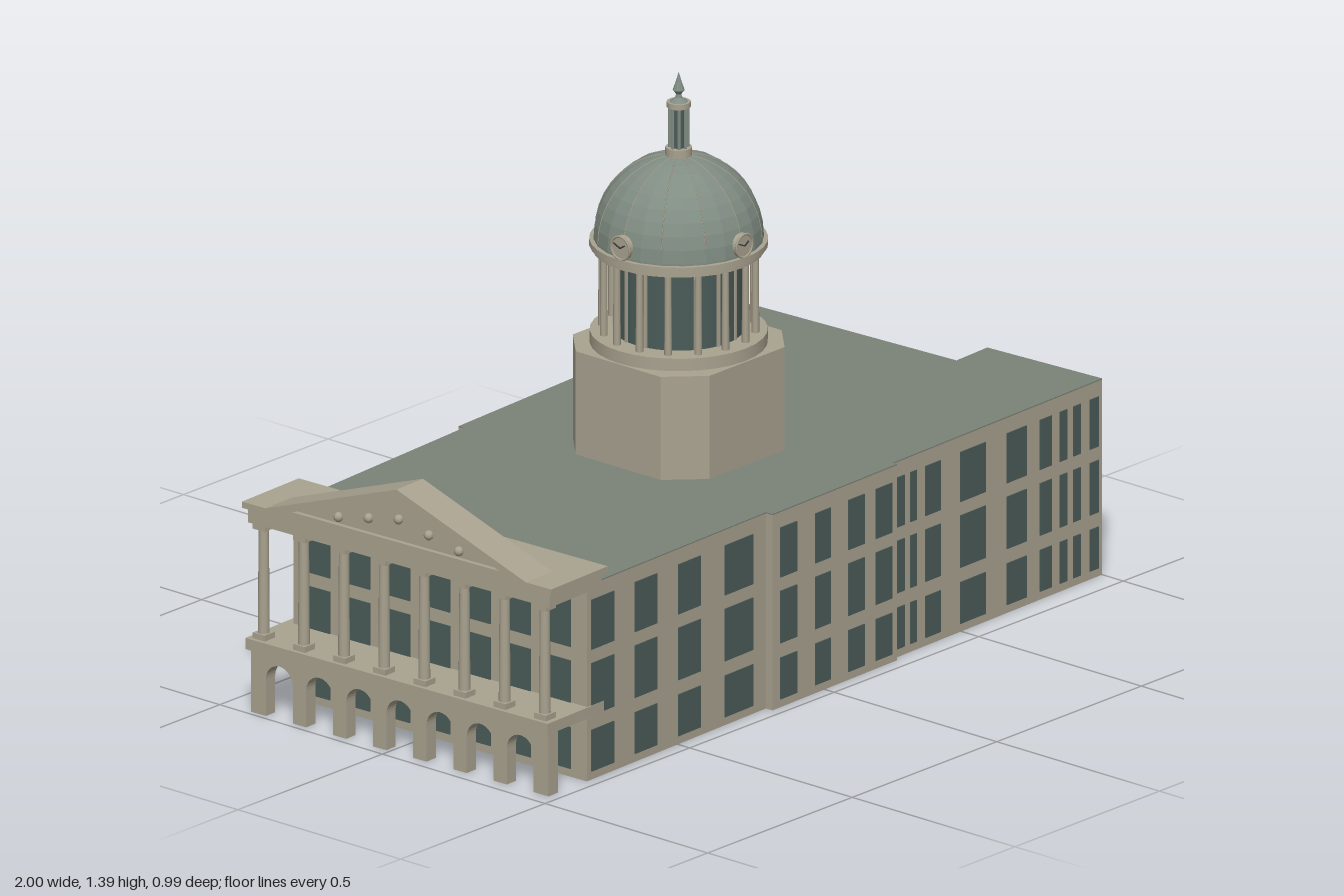
import * as THREE from 'three';

const mat = (name, color, flat = false) => {
  const m = new THREE.MeshStandardMaterial({ color, flatShading: flat });
  m.name = name;
  return m;
};

export function createModel() {
  const stone = mat('stone', 0xa9a28f);
  const roofing = mat('roof grey', 0x7b8379);
  const copper = mat('dome grey green', 0x808d83, true);
  const glass = mat('window glass', 0x4a5c59);
  const dark = mat('dark metal', 0x3a3f3c);
  const model = new THREE.Group();

  const add = (parent, name, geo, material, x = 0, y = 0, z = 0) => {
    const m = new THREE.Mesh(geo, material);
    m.name = name;
    m.position.set(x, y, z);
    parent.add(m);
    return m;
  };
  const group = (name, x = 0, y = 0, z = 0) => {
    const g = new THREE.Group();
    g.name = name;
    g.position.set(x, y, z);
    model.add(g);
    return g;
  };
  const box = (parent, name, m, x0, x1, y0, y1, z0, z1) =>
    add(parent, name, new THREE.BoxGeometry(x1 - x0, y1 - y0, z1 - z0), m,
      (x0 + x1) / 2, (y0 + y1) / 2, (z0 + z1) / 2);
  const drum = (parent, name, m, r, y0, y1, sides = 32, rTop = r) =>
    add(parent, name, new THREE.CylinderGeometry(rTop, r, y1 - y0, sides), m, 0, (y0 + y1) / 2, 0);
  // Upright prism over a plan given as [x, z] points
  const prism = (parent, name, m, plan, y0, y1) => {
    const shape = new THREE.Shape(plan.map(([x, z]) => new THREE.Vector2(x, -z)));
    const geo = new THREE.ExtrudeGeometry(shape, { depth: y1 - y0, bevelEnabled: false });
    return add(parent, name, geo.rotateX(-Math.PI / 2), m, 0, y0, 0);
  };

  // Main block
  const plan = [
    [-0.825, 0.473], [-0.185, 0.455], [-0.185, 0.475], [0.257, 0.465], [0.257, 0.452],
    [1.0, 0.435], [0.98, 0.1], [0.868, 0.105], [0.837, -0.5], [0.222, -0.466],
    [0.222, -0.477], [-0.222, -0.457], [-0.222, -0.441], [-0.853, -0.404],
  ];
  prism(model, 'walls', stone, plan, 0, 0.477);
  prism(model, 'flatRoof', roofing, plan, 0.477, 0.48);

  // Windows: thin panes on each wall, spans measured along x (axis 0) or z (axis 1)
  const windows = group('windows');
  const rows = [[0.02, 0.122], [0.157, 0.285], [0.318, 0.44]];
  const glaze = (i, axis, spans) => {
    const a = plan[i], b = plan[(i + 1) % plan.length];
    const dx = b[0] - a[0], dz = b[1] - a[1], length = Math.hypot(dx, dz);
    for (const [s0, s1] of spans) {
      const t = ((s0 + s1) / 2 - a[axis]) / (b[axis] - a[axis]);
      const w = Math.abs((s1 - s0) / (b[axis] - a[axis])) * length;
      for (const [y0, y1] of rows) {
        const pane = add(windows, 'window', new THREE.BoxGeometry(w, y1 - y0, 0.005), glass,
          a[0] + dx * t, (y0 + y1) / 2, a[1] + dz * t);
        pane.rotation.y = Math.atan2(-dz, dx);
      }
    }
  };
  const even = (from, to, n, fill) => Array.from({ length: n }, (_, k) => {
    const step = (to - from) / n, mid = from + step * (k + 0.5);
    return [mid - step * fill / 2, mid + step * fill / 2];
  });
  glaze(0, 0, [[-0.81, -0.73], [-0.655, -0.575], [-0.5, -0.42], [-0.334, -0.233]]);
  glaze(2, 0, [[-0.158, -0.1], [-0.035, 0.02], [0.083, 0.14], [0.18, 0.238]]);
  glaze(4, 0, [[0.27, 0.297], [0.318, 0.34], [0.372, 0.425], [0.495, 0.585], [0.66, 0.73],
    [0.778, 0.82], [0.848, 0.875], [0.896, 0.922], [0.955, 0.987]]);
  glaze(5, 1, [[0.4, 0.314], [0.233, 0.144]]);
  glaze(6, 0, [[0.9, 0.95]]);
  glaze(7, 1, [[0.092, 0.06], [0.026, -0.01], [-0.048, -0.085], [-0.118, -0.148],
    [-0.2, -0.288], [-0.37, -0.457]]);
  glaze(8, 0, even(0.235, 0.83, 8, 0.55));
  glaze(10, 0, even(-0.21, 0.21, 4, 0.52));
  glaze(12, 0, even(-0.82, -0.23, 4, 0.6));
  glaze(13, 1, even(-0.39, 0.45, 7, 0.6));

  // Portico on the end wall, slightly turned; local x runs inward
  const portico = group('portico', -0.985, 0, 0.03);
  portico.rotation.y = 0.0326;
  const endShape = (name, shape, x0, x1) =>
    add(portico, name, new THREE.ExtrudeGeometry(shape, { depth: x1 - x0, bevelEnabled: false, curveSegments: 8 })
      .rotateY(-Math.PI / 2), stone, x1, 0, 0);
  const arcade = new THREE.Shape();
  arcade.moveTo(-0.445, 0.155);
  arcade.lineTo(-0.445, 0);
  for (let k = -3; k <= 3; k++) {
    const c = k * 0.12, r = 0.04;
    arcade.lineTo(c - r, 0);
    arcade.lineTo(c - r, 0.09);
    arcade.absarc(c, 0.09, r, Math.PI, 0, true);
    arcade.lineTo(c + r, 0);
  }
  arcade.lineTo(0.445, 0);
  arcade.lineTo(0.445, 0.155);
  endShape('arcade', arcade, 0.012, 0.045);
  box(portico, 'balcony', stone, 0, 0.203, 0.155, 0.182, -0.452, 0.452);
  for (let k = 0; k < 8; k++) {
    const z = -0.42 + k * 0.12;
    add(portico, 'column', new THREE.CylinderGeometry(0.012, 0.014, 0.285, 12), stone, 0.028, 0.3235, z);
    box(portico, 'columnBase', stone, 0.01, 0.046, 0.182, 0.196, z - 0.018, z + 0.018);
    box(portico, 'columnCapital', stone, 0.01, 0.046, 0.45, 0.465, z - 0.018, z + 0.018);
  }
  box(portico, 'entablature', stone, 0.008, 0.196, 0.463, 0.498, -0.45, 0.45);
  box(portico, 'cornice', stone, 0, 0.204, 0.498, 0.513, -0.462, 0.462);

  // Pediment with a raised triangular frame and small bosses
  const triangle = (s, y0) => [[-0.4 * s, y0], [0.395 * s, y0], [0, y0 + 0.14 * s]]
    .map(([z, y]) => new THREE.Vector2(z, y));
  endShape('pediment', new THREE.Shape(triangle(1, 0.51)), 0.012, 0.095);
  const frame = new THREE.Shape(triangle(1, 0.51));
  frame.holes.push(new THREE.Path(triangle(0.78, 0.522)));
  endShape('pedimentFrame', frame, 0, 0.014);
  for (let k = -2; k <= 2; k++)
    add(portico, 'pedimentBoss', new THREE.SphereGeometry(0.012, 8, 6), stone,
      0.008, 0.575 - Math.abs(k) * 0.018, k * 0.09);

  // Tower base: square with cut corners
  const tower = group('tower', 0.025, 0, 0);
  const f = 0.21, c = 0.13;
  prism(tower, 'towerBase', stone,
    [[-c, f], [c, f], [f, c], [f, -c], [c, -f], [-c, -f], [-f, -c], [-f, c]], 0.48, 0.732);
  drum(tower, 'lowerRing', stone, 0.205, 0.732, 0.762);

  // Colonnaded drum
  drum(tower, 'drumGlass', glass, 0.15, 0.76, 0.962, 32);
  for (let k = 0; k < 16; k++) {
    const a = (k + 0.5) * Math.PI / 8;
    add(tower, 'drumColumn', new THREE.CylinderGeometry(0.008, 0.009, 0.2, 8), stone,
      0.178 * Math.sin(a), 0.862, 0.178 * Math.cos(a));
    const bar = add(tower, 'glazingBar', new THREE.BoxGeometry(0.008, 0.2, 0.006), stone,
      0.15 * Math.sin(a), 0.862, 0.15 * Math.cos(a));
    bar.rotation.y = a;
  }
  drum(tower, 'upperRing', stone, 0.198, 0.958, 0.97);
  drum(tower, 'upperCornice', stone, 0.206, 0.97, 0.985);

  // Dome with fine ribs
  const domeHeight = 0.2, domeRadius = 0.196;
  const dome = add(tower, 'dome',
    new THREE.SphereGeometry(1, 24, 10, 0, Math.PI * 2, 0, Math.PI / 2), copper, 0, 0.99, 0);
  dome.scale.set(domeRadius, domeHeight, domeRadius);
  drum(tower, 'domeFoot', copper, domeRadius, 0.98, 0.99, 24);
  for (let k = 0; k < 12; k++) {
    const rib = add(tower, 'domeRib', new THREE.TorusGeometry(domeRadius, 0.0012, 4, 10, Math.PI / 2),
      stone, 0, 0.99, 0);
    rib.scale.y = domeHeight / domeRadius;
    rib.rotation.y = k * Math.PI / 6;
  }

  // Four clocks around the foot of the dome
  for (let k = 0; k < 4; k++) {
    const clock = new THREE.Group();
    clock.name = 'clock';
    clock.rotation.y = k * Math.PI / 2;
    tower.add(clock);
    add(clock, 'clockFace', new THREE.CylinderGeometry(0.029, 0.029, 0.03, 20).rotateX(Math.PI / 2),
      stone, 0, 1.013, 0.187);
    add(clock, 'clockRim', new THREE.TorusGeometry(0.028, 0.003, 6, 20), stone, 0, 1.013, 0.202);
    for (const [angle, len] of [[1.15, 0.022], [-1.0, 0.016]]) {
      const hand = add(clock, 'clockHand', new THREE.BoxGeometry(0.003, len, 0.003).translate(0, len / 2, 0),
        dark, 0, 1.013, 0.203);
      hand.rotation.z = angle;
    }
  }

  // Lantern and finial
  drum(tower, 'lanternBase', stone, 0.031, 1.178, 1.207, 16);
  drum(tower, 'lanternCore', glass, 0.017, 1.205, 1.308, 12);
  for (let k = 0; k < 8; k++) {
    const a = k * Math.PI / 4;
    add(tower, 'lanternColumn', new THREE.CylinderGeometry(0.004, 0.004, 0.102, 6), copper,
      0.021 * Math.sin(a), 1.257, 0.021 * Math.cos(a));
  }
  drum(tower, 'lanternCap', stone, 0.028, 1.305, 1.318, 16);
  const finial = [[0.022, 1.318], [0.008, 1.328], [0.006, 1.336], [0.014, 1.346], [0.007, 1.366], [0, 1.39]];
  add(tower, 'finial', new THREE.LatheGeometry(finial.map(([x, y]) => new THREE.Vector2(x, y)), 10), copper);

  return model;
}
